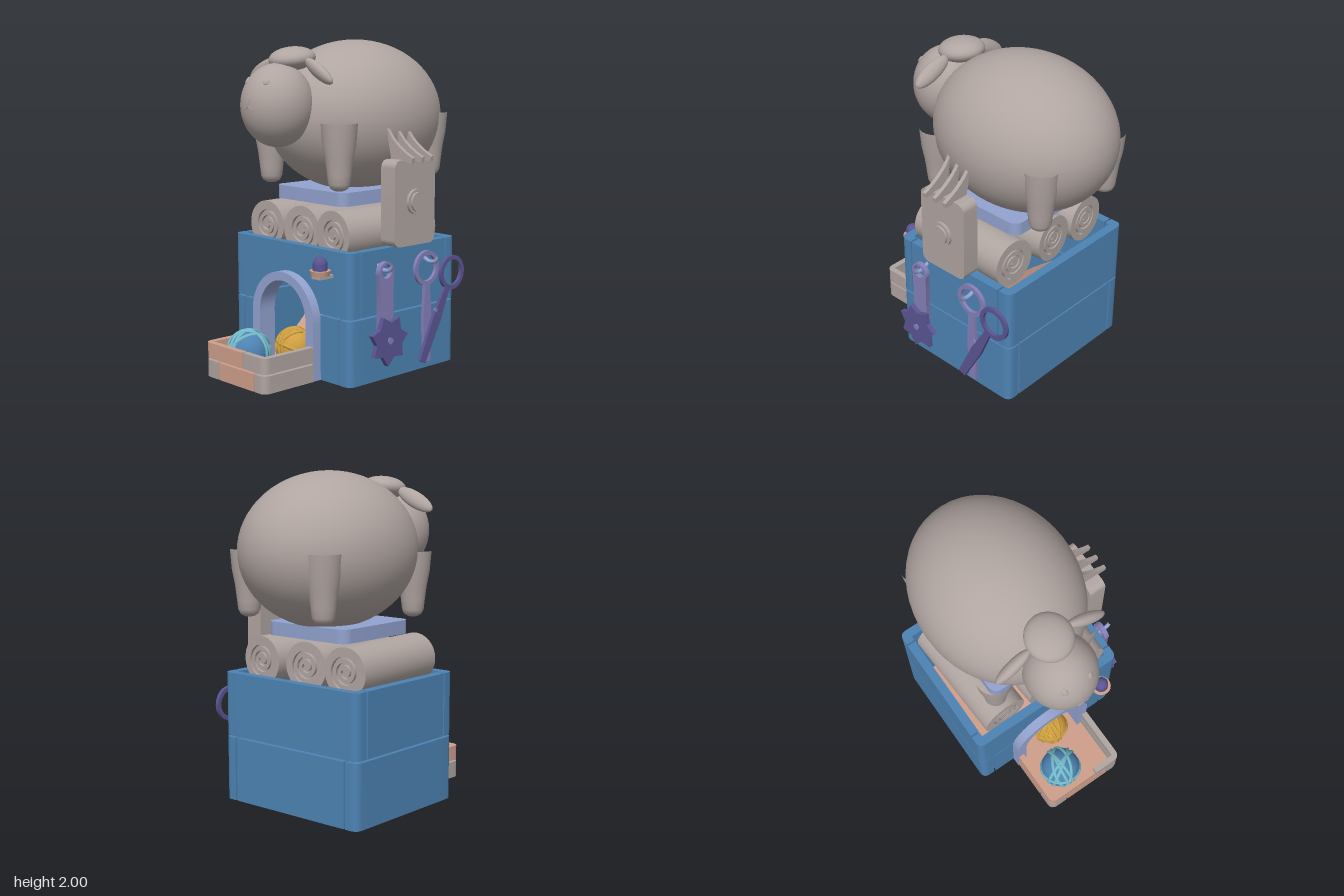
import * as THREE from 'three';
import { toCreasedNormals } from 'three/addons/utils/BufferGeometryUtils.js';

const colour = (name, color) => Object.assign(new THREE.MeshStandardMaterial({ color }), { name });
const WOOL = colour('wool grey', 0xb0a5a1);
const BLUE = colour('brick blue', 0x4d83b3);
const PERI = colour('periwinkle', 0x93a3d0);
const PEACH = colour('peach', 0xcf9f8b);
const LILAC = colour('lilac', 0x8580b8);
const PLUM = colour('plum', 0x5a5492);
const TEAL = colour('teal', 0x74bccb);
const GOLD = colour('gold', 0xd0a040);

const CX = -0.075; // centre line of the house and the sheep

export function createModel() {
  const root = new THREE.Group();
  root.name = 'sheepHouse';

  const add = (name, geo, mat, x = 0, y = 0, z = 0) => {
    const m = new THREE.Mesh(geo, mat);
    m.name = name;
    m.position.set(x, y, z);
    root.add(m);
    return m;
  };
  const ball = (name, mat, p, r) => {
    const m = add(name, new THREE.SphereGeometry(1, 48, 32), mat, ...p);
    m.scale.set(...r);
    return m;
  };
  // box given by its limits
  const block = (name, mat, x0, x1, y0, y1, z0, z1) =>
    add(name, new THREE.BoxGeometry(x1 - x0, y1 - y0, z1 - z0), mat, (x0 + x1) / 2, (y0 + y1) / 2, (z0 + z1) / 2);
  const extrude = (shape, depth) =>
    toCreasedNormals(new THREE.ExtrudeGeometry(shape, { depth, bevelEnabled: false, curveSegments: 20 }), 0.6);
  const poly = (pts) => new THREE.Shape(pts.map((p) => new THREE.Vector2(...p)));
  const circle = (x, y, r, Kind = THREE.Path) => new Kind().absarc(x, y, r, 0, Math.PI * 2, false);
  // shape drawn in plan (x, -z), raised from y0 to y1
  const plan = (name, mat, shape, y0, y1) => add(name, extrude(shape, y1 - y0).rotateX(-Math.PI / 2), mat, 0, y0, 0);
  // shape drawn in side view (-z, y), running from x0 to x1
  const side = (name, mat, shape, x0, x1) => add(name, extrude(shape, x1 - x0).rotateY(Math.PI / 2), mat, x0, 0, 0);
  const roundRect = (x0, x1, y0, y1, r) => {
    const s = new THREE.Shape();
    s.absarc(x1 - r, y0 + r, r, -Math.PI / 2, 0);
    s.absarc(x1 - r, y1 - r, r, 0, Math.PI / 2);
    s.absarc(x0 + r, y1 - r, r, Math.PI / 2, Math.PI);
    s.absarc(x0 + r, y0 + r, r, Math.PI, Math.PI * 1.5);
    s.closePath();
    return s;
  };
  // L-shaped corner brick with a rounded outer corner at (x0, z0)
  const corner = (name, mat, x0, z0, sx, sz, a, b, t, y0, y1) => {
    const p = (u, v) => [x0 + sx * u, -(z0 + sz * v)];
    const r = 0.05, s = new THREE.Shape();
    s.moveTo(...p(0, b));
    s.lineTo(...p(0, r));
    s.quadraticCurveTo(...p(0, 0), ...p(r, 0));
    [[a, 0], [a, t], [t, t], [t, b]].forEach((q) => s.lineTo(...p(...q)));
    s.closePath();
    return plan(name, mat, s, y0, y1);
  };

  // ---- house walls: two courses of bricks with open joints
  const X0 = -0.595, X1 = 0.45, Z0 = -0.56, Z1 = 0.35, T = 0.057, G = 0.012;
  for (const [y0, y1, a, b] of [[0, 0.391, 0.085, 0.15], [0.402, 0.79, 0.15, 0.085]]) {
    const lower = y0 === 0;
    const gx = lower ? G : 0, gz = lower ? 0 : G;
    for (const sx of [1, -1]) for (const sz of [1, -1])
      corner('wallCorner', BLUE, sx > 0 ? X0 : X1, sz > 0 ? Z0 : Z1, sx, sz, a, b, T, y0, y1);
    block('sideWall', BLUE, X0, X0 + T, y0, y1, Z0 + b + gz, Z1 - b - gz);
    block('sideWall', BLUE, X1 - T, X1, y0, y1, Z0 + b + gz, Z1 - b - gz);
    block('backWall', BLUE, X0 + a + gx, X1 - a - gx, y0, y1, Z0, Z0 + T);
    // front wall leaves room for the arch
    const l = X0 + a + gx, r = X1 - a - gx;
    if (lower) {
      block('frontWall', BLUE, l, CX - 0.24, y0, y1, Z1 - T, Z1);
      block('frontWall', BLUE, CX + 0.24, r, y0, y1, Z1 - T, Z1);
    } else {
      const s = new THREE.Shape();
      s.moveTo(l, y0);
      s.lineTo(CX - 0.24, y0);
      s.absellipse(CX, y0, 0.24, 0.19, Math.PI, 0, true);
      [[r, y0], [r, y1], [l, y1]].forEach((q) => s.lineTo(...q));
      s.closePath();
      add('frontWallUpper', extrude(s, T), BLUE, 0, 0, Z1 - T);
    }
  }

  // ---- doorway arch
  const arch = new THREE.Shape();
  arch.moveTo(CX + 0.277, 0);
  arch.lineTo(CX + 0.277, 0.345);
  arch.absellipse(CX, 0.345, 0.277, 0.275, 0, Math.PI, false);
  arch.lineTo(CX - 0.277, 0);
  arch.lineTo(CX - 0.21, 0);
  arch.lineTo(CX - 0.21, 0.345);
  arch.absellipse(CX, 0.345, 0.21, 0.222, Math.PI, 0, true);
  arch.lineTo(CX + 0.21, 0);
  arch.closePath();
  add('doorArch', extrude(arch, 0.12), PERI, 0, 0, 0.29);

  // ---- floor, chute behind the door
  block('floor', PEACH, X0 + 0.05, X1 - 0.05, 0.003, 0.03, Z0 + 0.05, Z1 - 0.05);
  plan('trayFloor', PEACH, roundRect(-0.335, 0.195, -0.78, -0.29, 0.05), 0.003, 0.03);
  side('chute', PEACH, poly([[-0.3, 0.03], [0.1, 0.395], [0.46, 0.69], [0.46, 0.46], [0.4, 0.395], [0, 0.03]]), -0.28, 0.135);

  // ---- tray in front of the door
  const TL = -0.345, TR = 0.205, TZ = 0.787, W = 0.038;
  corner('trayBrick', PEACH, TL, TZ, 1, -1, 0.35, 0.377, W, 0.115, 0.21);
  corner('trayBrick', WOOL, TR, TZ, -1, -1, 0.192, 0.377, W, 0.115, 0.21);
  corner('trayBrick', WOOL, TL, TZ, 1, -1, 0.125, 0.13, W, 0, 0.105);
  corner('trayBrick', WOOL, TR, TZ, -1, -1, 0.09, 0.377, W, 0, 0.105);
  block('trayBrick', PEACH, TL + 0.133, TR - 0.098, 0, 0.105, TZ - W, TZ);
  block('trayBrick', PEACH, TL, TL + W, 0, 0.105, 0.41, TZ - 0.138);

  // ---- balls of yarn
  const yarn = (core, strand, x, y, z, r) => {
    ball('yarnBall', core, [x, y, z], [r, r, r]);
    for (let i = 0; i < 7; i++) {
      const ring = add('yarnStrand', new THREE.TorusGeometry(r * 0.98, 0.012, 8, 40), strand, x, y, z);
      ring.rotation.set(i * 1.1, i * 0.75 + 0.3, 0);
    }
  };
  yarn(BLUE, TEAL, -0.15, 0.155, 0.61, 0.128);
  yarn(GOLD, GOLD, -0.045, 0.153, 0.335, 0.115);

  // ---- lamp beside the door
  block('lampBracket', WOOL, 0.245, 0.315, 0.635, 0.655, 0.34, 0.46);
  add('lampBase', new THREE.CylinderGeometry(0.062, 0.055, 0.03, 32), PEACH, 0.28, 0.67, 0.425);
  add('lampStem', new THREE.CylinderGeometry(0.043, 0.043, 0.04, 32), PLUM, 0.28, 0.703, 0.425);
  ball('lampDome', PLUM, [0.28, 0.72, 0.425], [0.043, 0.045, 0.043]);

  // ---- wool rolls with spiral grooves in their ends
  const spiral = (off) => Array.from({ length: 61 }, (_, i) => {
    const k = i / 60, a = 0.6 - k * Math.PI * 4.6, r = 0.018 + k * 0.085 + off;
    return [r * Math.cos(a), r * Math.sin(a)];
  });
  for (const [x, turn] of [[-0.375, 0.05], [-0.065, 0.08], [0.25, -0.04]]) {
    const face = circle(0, 0, 0.147, THREE.Shape);
    face.holes.push(new THREE.Path([...spiral(0.006), ...spiral(-0.006).reverse()].map((p) => new THREE.Vector2(...p))));
    const roll = add('woolRoll', extrude(face, 0.71).translate(0, 0, -0.355), WOOL, x, 0.865, -0.07);
    const core = new THREE.Mesh(new THREE.CylinderGeometry(0.12, 0.12, 0.67, 32).rotateX(Math.PI / 2), WOOL);
    core.name = 'woolRollCore';
    roll.add(core);
    roll.rotation.y = turn;
  }

  // ---- pedestal under the sheep
  plan('pedestal', PERI, roundRect(-0.378, 0.235, -0.2, 0.41, 0.06), 1.022, 1.105);

  // ---- sheep
  ball('body', WOOL, [CX, 1.535, -0.197], [0.488, 0.465, 0.59]);
  ball('head', WOOL, [CX, 1.62, 0.435], [0.213, 0.246, 0.22]);
  ball('woolCap', WOOL, [CX, 1.89, 0.318], [0.138, 0.07, 0.142]).rotation.x = 0.12;
  const leg = [[0, 0], [0.03, 0.004], [0.053, 0.018], [0.066, 0.045], [0.072, 0.1], [0.083, 0.19], [0.1, 0.28], [0.11, 0.4]]
    .map((p) => new THREE.Vector2(...p));
  const onFace = (x, y) => 0.435 + 0.22 * Math.sqrt(1 - (x / 0.213) ** 2 - ((y - 1.62) / 0.246) ** 2);
  for (const s of [1, -1]) {
    const ear = ball('ear', WOOL, [CX + s * 0.24, 1.82, 0.325], [0.135, 0.05, 0.036]);
    ear.rotation.set(0.5, s * -0.3, s * -0.38);
    add('frontLeg', new THREE.LatheGeometry(leg, 32), WOOL, CX + s * 0.305, 1.12, 0.225);
    add('hindLeg', new THREE.LatheGeometry(leg, 32), WOOL, CX + s * 0.29, 1.15, -0.575);
    const eye = ball('eye', WOOL, [CX + s * 0.086, 1.765, onFace(0.086, 1.765)], [0.018, 0.024, 0.008]);
    eye.rotation.set(-0.6, s * 0.42, 0);
  }
  const stroke = (pts) => {
    const curve = new THREE.CatmullRomCurve3(pts.map(([x, y]) => new THREE.Vector3(CX + x, y, onFace(x, y))));
    add('noseLine', new THREE.TubeGeometry(curve, 8, 0.004, 6), WOOL);
  };
  stroke([[0, 1.685], [0.004, 1.65], [0, 1.62]]);
  for (const s of [1, -1]) stroke([[0, 1.625], [s * 0.015, 1.61], [s * 0.035, 1.602]]);

  // ---- shearing clipper: body, knob and three curved teeth
  side('clipperBody', WOOL, roundRect(-0.067, 0.277, 0.8, 1.31, 0.045), 0.418, 0.53);
  const knob = (r, x0, x1) => add('clipperKnob', new THREE.CylinderGeometry(r, r, x1 - x0, 40).rotateZ(Math.PI / 2), WOOL, (x0 + x1) / 2, 1.06, -0.105);
  knob(0.075, 0.5, 0.548);
  knob(0.058, 0.5, 0.562);
  const tooth = new THREE.Shape();
  tooth.moveTo(0.385, 1.49);
  tooth.quadraticCurveTo(0.44, 1.39, 0.59, 1.325);
  tooth.lineTo(0.585, 1.295);
  tooth.lineTo(0.52, 1.3);
  tooth.lineTo(0.425, 1.3);
  tooth.quadraticCurveTo(0.4, 1.38, 0.385, 1.49);
  for (const z of [-0.025, -0.105, -0.185]) add('clipperTooth', extrude(tooth, 0.024), WOOL, 0, 0, z - 0.012);

  // ---- hooks on the side wall
  for (const z of [0.12, -0.275]) {
    const bend = new THREE.CatmullRomCurve3([[0.44, 0.7], [0.49, 0.675], [0.54, 0.68], [0.57, 0.71]]
      .map(([x, y]) => new THREE.Vector3(x, y, z)));
    add('hook', new THREE.TubeGeometry(bend, 16, 0.013, 10), PERI);
  }

  // ---- star cutter: handle with an eye, star wheel and pin
  const handle = new THREE.Shape();
  handle.absarc(-0.12, 0.665, 0.062, -0.4, Math.PI + 0.4, false);
  handle.lineTo(-0.172, 0.26);
  handle.lineTo(-0.068, 0.26);
  handle.closePath();
  handle.holes.push(circle(-0.12, 0.67, 0.042));
  side('cutterHandle', LILAC, handle, 0.49, 0.522);
  const star = poly(Array.from({ length: 14 }, (_, i) => {
    const a = (i / 14) * Math.PI * 2 + 0.12, r = i % 2 ? 0.107 : 0.152;
    return [-0.125 + r * Math.cos(a), 0.265 + r * Math.sin(a)];
  }));
  side('cutterStar', PLUM, star, 0.524, 0.555);
  side('cutterPin', LILAC, circle(-0.125, 0.265, 0.02, THREE.Shape), 0.55, 0.562);

  // ---- scissors: two halves, each a ring and a tapering blade
  const half = (mat, ring, tip, x0, x1) => {
    const r = circle(...ring, 0.107, THREE.Shape);
    r.holes.push(circle(...ring, 0.08));
    side('scissorRing', mat, r, x0, x1);
    const a = new THREE.Vector2(...ring), b = new THREE.Vector2(...tip), d = b.clone().sub(a).normalize();
    a.addScaledVector(d, 0.09);
    const at = (p, w) => [p.x - d.y * w, p.y + d.x * w];
    const mid = a.clone().lerp(b, 0.45);
    side('scissorBlade', mat, poly([at(a, 0.02), at(mid, 0.036), at(b, 0.026), at(b, -0.026), at(mid, -0.036), at(a, -0.02)]), x0, x1);
  };
  half(LILAC, [0.275, 0.63], [0.285, 0.045], 0.458, 0.48);
  half(PLUM, [0.48, 0.578], [0.215, 0.06], 0.482, 0.504);
  side('scissorPin', LILAC, circle(0.325, 0.365, 0.014, THREE.Shape), 0.5, 0.51);

  return root;
}
